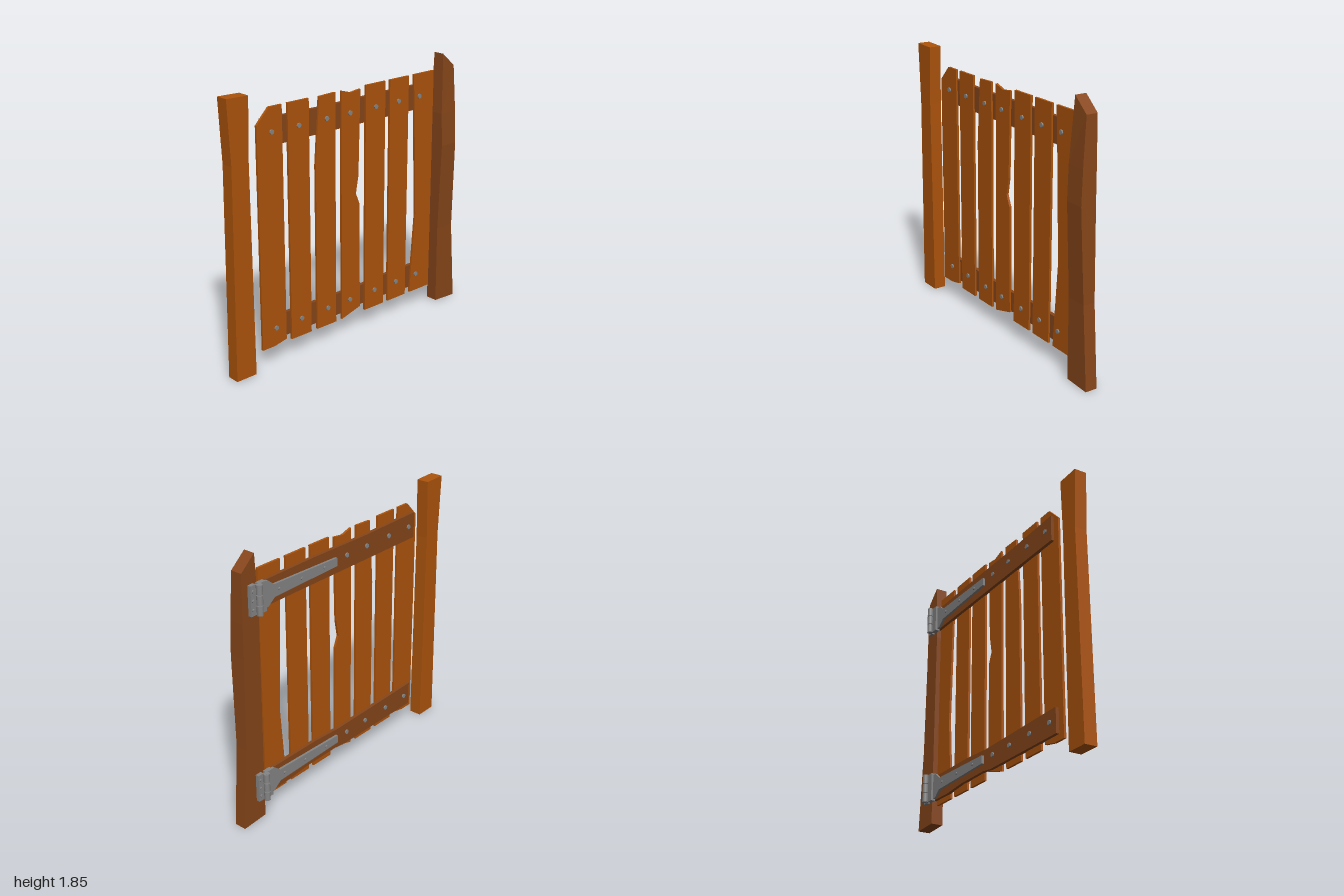
import * as THREE from 'three';

const mat = (color) => new THREE.MeshStandardMaterial({ color });
const flat = (color) => new THREE.MeshStandardMaterial({ color, flatShading: true });

export function createModel() {
  const gate = new THREE.Group();
  const wood = flat(0xad540c), darkWood = flat(0x87461a), steel = flat(0x858585), pinSteel = mat(0x858585);

  const add = (parent, name, geometry, material) => {
    const mesh = new THREE.Mesh(geometry, material);
    mesh.name = name;
    parent.add(mesh);
    return mesh;
  };

  // Outline in (-z, y), extruded along x from x0 to x1
  const board = (parent, name, points, x0, x1, material) => {
    const shape = new THREE.Shape(points.map(([a, y]) => new THREE.Vector2(a, y)));
    const geo = new THREE.ExtrudeGeometry(shape, { depth: x1 - x0, bevelEnabled: false });
    geo.translate(0, 0, x0).rotateY(Math.PI / 2);
    return add(parent, name, geo, material);
  };
  const box = (parent, name, x0, x1, y0, y1, z0, z1, material) => {
    const geo = new THREE.BoxGeometry(x1 - x0, y1 - y0, z1 - z0);
    geo.translate((x0 + x1) / 2, (y0 + y1) / 2, (z0 + z1) / 2);
    return add(parent, name, geo, material);
  };

  // Posts: a segmented box fitted to levels [x0, x1, zBack, zFront, yBack, yFront]
  const post = (name, levels, material) => {
    const n = levels.length - 1;
    const geo = new THREE.BoxGeometry(1, 1, 1, 1, n, 1);
    const p = geo.attributes.position;
    for (let i = 0; i < p.count; i++) {
      const [x0, x1, zb, zf, yb, yf] = levels[Math.round((p.getY(i) + 0.5) * n)];
      const front = p.getZ(i) > 0;
      p.setXYZ(i, p.getX(i) > 0 ? x1 : x0, front ? yf : yb, front ? zf : zb);
    }
    geo.computeVertexNormals();
    add(gate, name, geo, material);
  };
  post('latchPost', [
    [-0.037, 0.05, 0.845, 0.998, 0.01, 0.01],
    [-0.037, 0.05, 0.852, 0.98, 1.43, 1.43],
    [-0.037, 0.05, 0.84, 1.0, 1.84, 1.845],
  ], wood);
  post('hingePost', [
    [-0.025, 0.06, -1.0, -0.812, 0, 0.01],
    [-0.025, 0.06, -0.955, -0.808, 0.57, 0.57],
    [-0.025, 0.085, -0.94, -0.803, 1.2, 1.2],
    [-0.025, 0.076, -0.937, -0.8, 1.43, 1.43],
    [-0.025, 0.055, -0.93, -0.82, 1.75, 1.845],
  ], darkWood);

  // Pickets, several of them worn or chipped
  const low = 0.13, high = 1.73;
  const straight = (a, b) => [[a, low], [b, low], [b, high], [a, high]];
  const pickets = [
    [[-0.757, low], [-0.66, low], [-0.56, 0.15], [-0.56, high], [-0.66, high], [-0.757, 1.63]],
    straight(-0.515, -0.345),
    [[-0.293, low], [-0.125, low], [-0.125, high], [-0.26, 1.725], [-0.293, 1.28]],
    [[-0.072, low], [0.095, 0.175], [0.086, 0.935], [0.055, 1.01], [0.077, 1.13], [0.092, 1.715],
      [0.01, 1.705], [-0.072, high]],
    straight(0.142, 0.318),
    straight(0.362, 0.537),
    [[0.585, low], [0.778, low], [0.778, high], [0.585, high], [0.598, 1.48], [0.628, 0.72], [0.592, 0.25]],
  ];
  pickets.forEach((outline) => board(gate, 'picket', outline, -0.005, 0.011, wood));

  // Cross rails with slightly uneven edges
  board(gate, 'lowerRail', [[-0.71, 0.17], [0.03, 0.17], [0.12, 0.182], [0.4, 0.18], [0.6, 0.163],
    [0.785, 0.165], [0.785, 0.335], [0.32, 0.335], [0.09, 0.322], [-0.71, 0.337]], -0.027, -0.001, darkWood);
  board(gate, 'upperRail', [[-0.71, 1.48], [0.785, 1.48], [0.785, 1.65], [0.32, 1.655], [-0.2, 1.65],
    [-0.71, 1.66]], -0.027, -0.001, darkWood);

  // Bolts through rails and pickets, heads on both sides
  const boltRod = new THREE.CylinderGeometry(0.016, 0.016, 0.056, 10).rotateZ(Math.PI / 2);
  for (const y of [0.257, 1.573]) {
    for (const z of [0.645, 0.43, 0.2, 0, -0.23, -0.44, -0.64]) {
      add(gate, 'bolt', boltRod, steel).position.set(-0.008, y, z);
    }
  }

  // Strap hinges on the back of the gate
  const screw = new THREE.CylinderGeometry(0.01, 0.01, 0.012, 8).rotateZ(Math.PI / 2);
  const knuckle = new THREE.CylinderGeometry(0.021, 0.021, 0.062, 12);
  const pin = new THREE.CylinderGeometry(0.013, 0.013, 0.198, 10);
  for (const [name, y] of [['lowerHinge', 0.257], ['upperHinge', 1.565]]) {
    const hinge = new THREE.Group();
    hinge.name = name;
    hinge.position.y = y;
    gate.add(hinge);
    box(hinge, 'postLeaf', -0.05, -0.024, -0.098, 0.098, -0.885, -0.84, steel);
    box(hinge, 'gateLeaf', -0.058, -0.026, -0.098, 0.098, -0.822, -0.765, steel);
    board(hinge, 'strap', [[0.11, -0.028], [0.68, -0.042], [0.735, -0.085], [0.77, -0.085],
      [0.77, 0.085], [0.735, 0.085], [0.68, 0.042], [0.11, 0.028]], -0.044, -0.026, steel);
    add(hinge, 'hingePin', pin, pinSteel).position.set(-0.068, 0, -0.831);
    for (const k of [-1, 0, 1]) {
      add(hinge, 'knuckle', knuckle, pinSteel).position.set(-0.068, k * 0.067, -0.831);
      add(hinge, 'leafScrew', screw, steel).position.set(-0.052, k * 0.06, -0.867);
    }
    for (const z of [-0.23, -0.44, -0.64]) {
      add(hinge, 'strapScrew', screw, steel).position.set(-0.046, 0, z);
    }
  }
  return gate;
}
